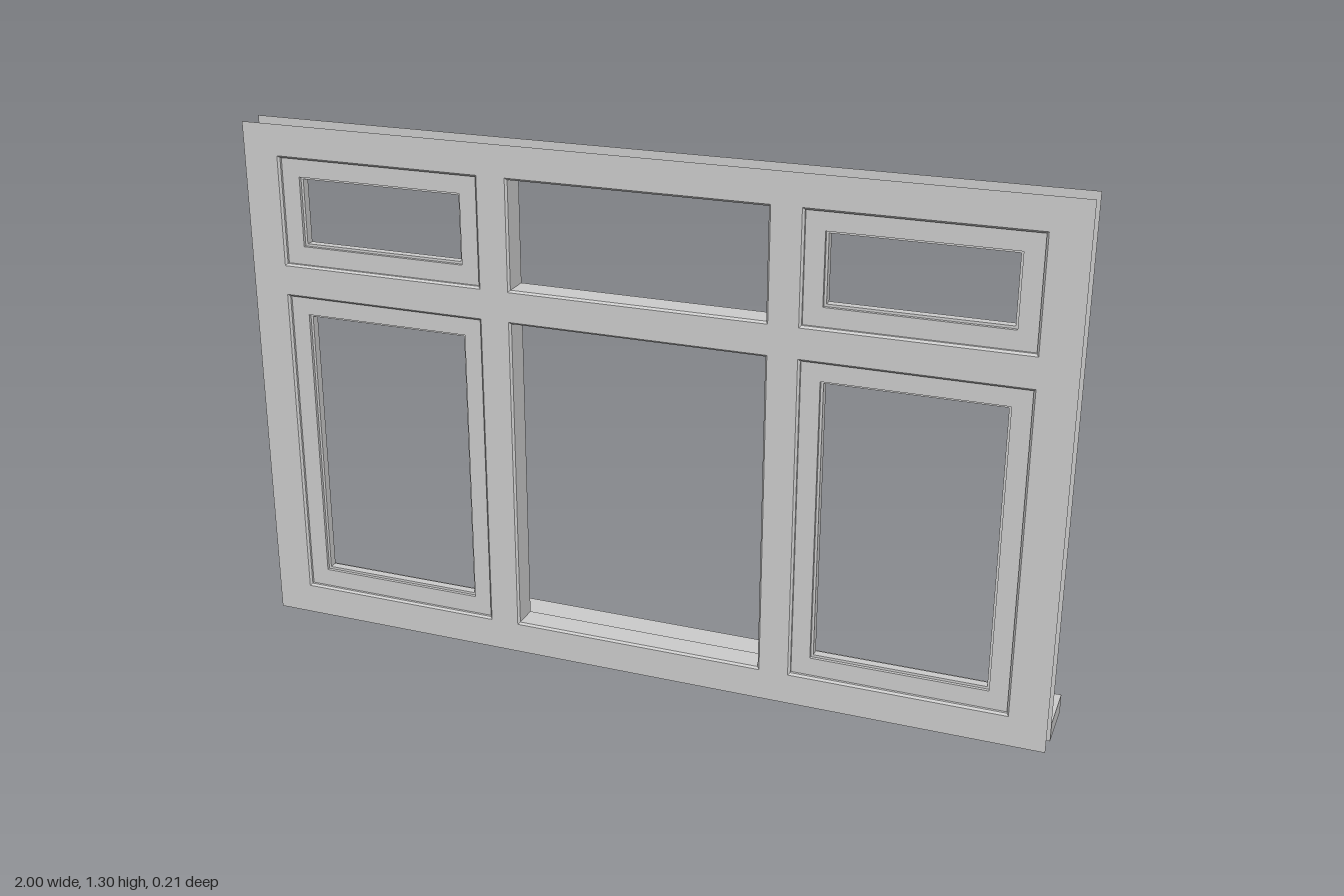
import * as THREE from 'three';

const FRONT = 0.105, BACK = 0.034;            // planes of the two frame faces
const SASH_FRONT = 0.094, SASH_BACK = 0.058;
const ROWS = [[0.088, 0.884], [0.957, 1.229]]; // lower and upper openings
const COLS = [[-0.911, -0.387], [-0.316, 0.316], [0.387, 0.911]];

const solid = new THREE.MeshStandardMaterial({ color: 0xcccccc });
const sheet = new THREE.MeshStandardMaterial({ color: 0xcccccc, side: THREE.DoubleSide, flatShading: true });

function add(parent, geometry, material, name) {
  const mesh = new THREE.Mesh(geometry, material);
  mesh.name = name;
  parent.add(mesh);
  return mesh;
}

function rectPath(Type, x0, x1, y0, y1) {
  const p = new Type();
  p.moveTo(x0, y0);
  p.lineTo(x1, y0);
  p.lineTo(x1, y1);
  p.lineTo(x0, y1);
  p.closePath();
  return p;
}

// Sweep a profile of [inset, z] points round a rectangular opening with mitred corners
function mitredRing([x0, x1], [y0, y1], profile) {
  const loops = profile.map(([d, z]) => [
    [x0 + d, y0 + d, z], [x1 - d, y0 + d, z], [x1 - d, y1 - d, z], [x0 + d, y1 - d, z],
  ]);
  const pos = [];
  for (let i = 0; i < loops.length - 1; i++) {
    for (let k = 0; k < 4; k++) {
      const n = (k + 1) % 4;
      const a = loops[i][k], b = loops[i][n], c = loops[i + 1][n], d = loops[i + 1][k];
      pos.push(...a, ...b, ...c, ...a, ...c, ...d);
    }
  }
  const g = new THREE.BufferGeometry();
  g.setAttribute('position', new THREE.Float32BufferAttribute(pos, 3));
  g.computeVertexNormals();
  return g;
}

// Upright bar with round ends, radius r0 at the bottom and r1 at the top
function roundedBar(length, r0, r1, depth) {
  const s = new THREE.Shape();
  const h = length / 2;
  s.absarc(0, h - r1, r1, 0, Math.PI, false);
  s.absarc(0, -h + r0, r0, Math.PI, Math.PI * 2, false);
  s.closePath();
  return new THREE.ExtrudeGeometry(s, { depth, bevelEnabled: false, curveSegments: 10 });
}

// Handle on the inner side of a sash: backplate, spindle and lever
function makeHandle(x, y, turn) {
  const handle = new THREE.Group();
  handle.name = 'handle';
  add(handle, roundedBar(0.115, 0.011, 0.011, 0.007), solid, 'handlePlate').position.z = -0.007;
  const spindle = add(handle, new THREE.CylinderGeometry(0.008, 0.008, 0.008, 12), solid, 'handleSpindle');
  spindle.rotation.x = Math.PI / 2;
  spindle.position.set(0, 0.04, -0.01);
  add(handle, roundedBar(0.105, 0.007, 0.009, 0.009), solid, 'handleLever').position.z = -0.021;
  handle.position.set(x, y, SASH_BACK);
  handle.rotation.z = turn;
  return handle;
}

export function createModel() {
  const model = new THREE.Group();
  model.name = 'window';

  // Two thin frame faces with six openings, open round the outside
  const face = rectPath(THREE.Shape, -1, 1, 0.012, 1.305);
  for (const [x0, x1] of COLS)
    for (const [y0, y1] of ROWS) face.holes.push(rectPath(THREE.Path, x0, x1, y0, y1));
  add(model, new THREE.ShapeGeometry(face), sheet, 'frameFront').position.z = FRONT;
  const back = add(model, new THREE.ShapeGeometry(face), sheet, 'frameBack');
  back.rotation.y = Math.PI;
  back.position.z = BACK;

  COLS.forEach((col, i) => ROWS.forEach((row, j) => {
    // Reveal with a slight chamfer at both faces
    add(model, mitredRing(col, row, [
      [0, FRONT], [0.005, FRONT - 0.005], [0.005, BACK + 0.005], [0, BACK],
    ]), sheet, 'openingReveal');
    if (i === 1) return;

    // Opening sash with a stepped inner edge
    const sash = new THREE.Group();
    sash.name = j ? 'upperSash' : 'lowerSash';
    add(sash, mitredRing(col, row, [
      [0.005, SASH_FRONT], [0.05, SASH_FRONT], [0.05, 0.086], [0.056, 0.086],
      [0.056, 0.065], [0.05, 0.065], [0.05, SASH_BACK], [0.005, SASH_BACK],
    ]), sheet, 'sashFrame');

    // Upright handle beside the mullion below, level handle on the bottom rail above
    const side = Math.sign(col[0]);
    sash.add(j
      ? makeHandle((col[0] + col[1]) / 2, row[0] + 0.029, Math.PI / 2)
      : makeHandle(side * 0.415, 0.447, 0));
    model.add(sash);
  }));

  // Inner sill board
  add(model, new THREE.BoxGeometry(2, 0.048, 0.137), solid, 'sill').position.set(0, 0.024, -0.0365);

  return model;
}
